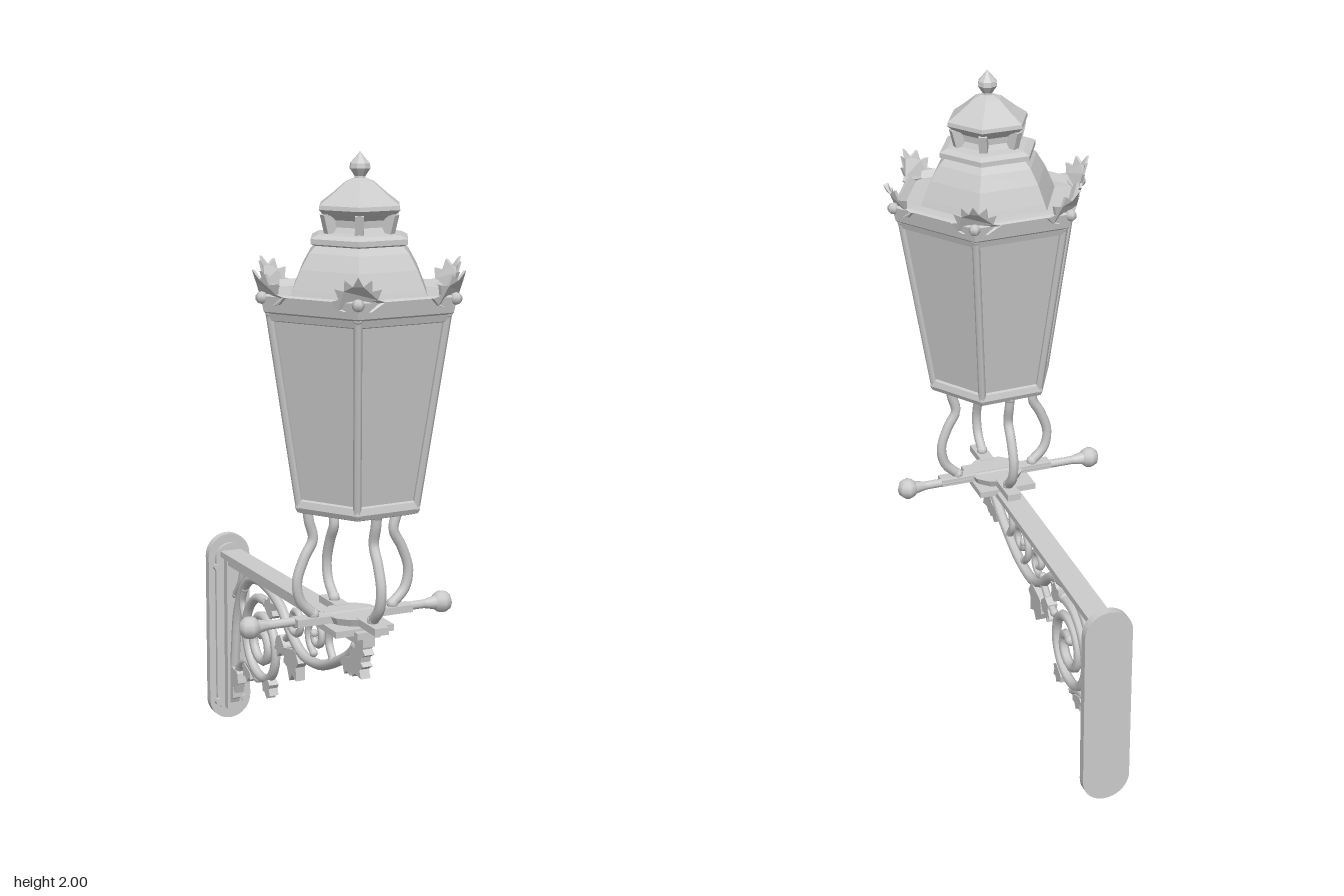
import * as THREE from 'three';

const V = (x, y, z) => new THREE.Vector3(x, y, z);
const smooth = new THREE.MeshStandardMaterial({ color: 0xcccccc });
const faceted = new THREE.MeshStandardMaterial({ color: 0xcccccc, flatShading: true });

function add(parent, name, geometry, material = faceted, x = 0, y = 0, z = 0) {
  const mesh = new THREE.Mesh(geometry, material);
  mesh.name = name;
  mesh.position.set(x, y, z);
  parent.add(mesh);
  return mesh;
}

// Six-sided turned part with corners on the x axis; profile is [radius, y] bottom to top
const hexLathe = (profile) => new THREE.LatheGeometry(
  profile.map(([r, y]) => new THREE.Vector2(r, y)), 6, Math.PI / 6);

// Round rod along points, with rounded ends
function rod(parent, name, points, radius, segments = 24, sides = 8) {
  const group = new THREE.Group();
  group.name = name;
  parent.add(group);
  const curve = new THREE.CatmullRomCurve3(points);
  add(group, name + 'Stem', new THREE.TubeGeometry(curve, segments, radius, sides), smooth);
  for (const p of [points[0], points[points.length - 1]])
    add(group, name + 'End', new THREE.SphereGeometry(radius * 1.15, 8, 6), smooth, p.x, p.y, p.z);
  return group;
}

// Fan-shaped leaf with pointed lobes, growing along +y
function leafGeometry(width, height, lobes, depth) {
  const shape = new THREE.Shape();
  shape.moveTo(-width * 0.25, 0);
  for (let i = 0; i <= lobes * 2; i++) {
    const a = Math.PI * (1.08 - 1.16 * i / (lobes * 2));
    const k = i % 2 ? 1 : 0.74;
    shape.lineTo(Math.cos(a) * width / 2 * k, height * (0.25 + 0.75 * Math.sin(a)) * k);
  }
  shape.lineTo(width * 0.25, 0);
  return new THREE.ExtrudeGeometry(shape, { depth, bevelEnabled: false }).translate(0, 0, -depth / 2);
}

function spiralPoints(cz, cy, r0, r1, start, turns) {
  const n = Math.ceil(Math.abs(turns) * 12);
  return Array.from({ length: n + 1 }, (_, i) => {
    const t = i / n, r = r0 + (r1 - r0) * t, a = start + turns * Math.PI * 2 * t;
    return V(0, cy + r * Math.sin(a), cz + r * Math.cos(a));
  });
}

function buildLantern() {
  const g = new THREE.Group();
  g.name = 'lantern';
  add(g, 'baseFrame', hexLathe([[0, 0.97], [0.165, 0.965], [0.2, 0.975], [0.208, 0.99], [0.203, 1.01], [0.185, 1.015]]));
  add(g, 'glassPanes', hexLathe([[0.19, 1.0], [0.282, 1.56]]));
  add(g, 'topFrame', hexLathe([[0.275, 1.535], [0.293, 1.54], [0.3, 1.56], [0.306, 1.565],
    [0.316, 1.61], [0.305, 1.615], [0.285, 1.595], [0.21, 1.6]]));
  add(g, 'roof', hexLathe([[0.225, 1.595], [0.215, 1.62], [0.19, 1.675], [0.162, 1.72], [0.142, 1.74],
    [0.158, 1.745], [0.158, 1.76], [0.135, 1.77], [0.09, 1.775]]));
  add(g, 'vent', hexLathe([[0.1, 1.77], [0.088, 1.79], [0.09, 1.81], [0.11, 1.825]]));
  add(g, 'cap', hexLathe([[0.08, 1.82], [0.115, 1.825], [0.132, 1.84], [0.13, 1.852], [0.09, 1.88],
    [0.045, 1.915], [0.018, 1.925]]));
  add(g, 'finial', new THREE.LatheGeometry([[0.018, 1.915], [0.016, 1.93], [0.031, 1.952], [0.029, 1.966],
    [0.012, 1.985], [0, 2]].map(p => new THREE.Vector2(...p)), 8));

  // Leaf folded round a corner and leaning outwards
  const crest = leafGeometry(0.15, 0.1, 7, 0.008);
  const pos = crest.attributes.position;
  for (let i = 0; i < pos.count; i++)
    pos.setZ(i, pos.getZ(i) - Math.abs(pos.getX(i)) * 0.5 + pos.getY(i) * 0.3);
  crest.computeVertexNormals();

  for (let i = 0; i < 6; i++) {
    const corner = new THREE.Group();
    corner.name = 'corner';
    corner.rotation.y = Math.PI / 6 + i * Math.PI / 3;
    g.add(corner);
    rod(corner, 'cornerBar', [V(0, 0.99, 0.193), V(0, 1.56, 0.287)], 0.012, 1, 6);
    add(corner, 'crestLeaf', crest, faceted, 0, 1.585, 0.308);
    add(corner, 'crestBoss', new THREE.SphereGeometry(0.018, 6, 5), smooth, 0, 1.605, 0.312);
    // Small brackets holding up the cap
    const bracket = add(corner, 'ventBracket', new THREE.BoxGeometry(0.025, 0.06, 0.03), faceted, 0, 1.8, 0.1);
    bracket.rotation.x = 0.25;
  }
  g.rotation.y = 0.055;
  return g;
}

function buildCradle() {
  const g = new THREE.Group();
  g.name = 'cradle';
  // Four bowed legs
  for (let i = 0; i < 4; i++) {
    const leg = rod(g, 'leg', [V(0, 0.975, 0.15), V(0, 0.94, 0.145), V(0, 0.885, 0.132), V(0, 0.83, 0.16),
      V(0, 0.76, 0.183), V(0, 0.7, 0.172), V(0, 0.655, 0.13)], 0.016);
    leg.rotation.y = i * Math.PI / 2;
    add(leg, 'foot', new THREE.BoxGeometry(0.045, 0.022, 0.12), faceted, 0, 0.638, 0.13);
  }
  add(g, 'hub', new THREE.CylinderGeometry(0.09, 0.075, 0.035, 12), faceted, 0, 0.63, 0);
  add(g, 'hubPlate', new THREE.BoxGeometry(0.19, 0.02, 0.2), faceted, -0.01, 0.615, 0);
  // Ladder rest with a knob at each end
  rod(g, 'crossbar', [V(-0.33, 0.637, -0.01), V(0.31, 0.637, -0.01)], 0.014, 1);
  for (const s of [-1, 1]) {
    const x = -0.013 + s * 0.317;
    add(g, 'knob', new THREE.SphereGeometry(0.034, 8, 6), smooth, x, 0.637, -0.01);
    const collar = add(g, 'knobCollar', new THREE.CylinderGeometry(0.023, 0.014, 0.04, 8), smooth, x - s * 0.04, 0.637, -0.01);
    collar.rotation.z = -s * Math.PI / 2;
  }
  return g;
}

// Upright strip with round ends, extruded forwards from z
function strip(w, y0, y1, z, depth) {
  const r = w / 2, s = new THREE.Shape();
  s.absarc(0, y1 - r, r, 0, Math.PI);
  s.absarc(0, y0 + r, r, Math.PI, Math.PI * 2);
  return new THREE.ExtrudeGeometry(s, { depth, bevelEnabled: false, curveSegments: 10 }).translate(0, 0, z);
}

function buildBracket() {
  const g = new THREE.Group();
  g.name = 'wallBracket';
  add(g, 'wallPlate', strip(0.15, 0, 0.66, -0.632, 0.027));
  add(g, 'wallPlateRidge', strip(0.105, 0.03, 0.63, -0.606, 0.014));
  add(g, 'wallPost', new THREE.BoxGeometry(0.05, 0.54, 0.03), faceted, 0, 0.315, -0.58);
  for (const s of [-1, 1]) for (const y of [0.07, 0.55]) {
    const bolt = add(g, 'bolt', new THREE.CylinderGeometry(0.013, 0.013, 0.02, 8), faceted, s * 0.048, y, -0.594);
    bolt.rotation.x = Math.PI / 2;
  }
  // T-section arm
  const arm = new THREE.Group();
  arm.name = 'arm';
  arm.rotation.x = -0.012;
  arm.position.set(0, 0.594, -0.07);
  g.add(arm);
  add(arm, 'armTop', new THREE.BoxGeometry(0.075, 0.02, 1.06), faceted, 0, 0.008, 0);
  add(arm, 'armWeb', new THREE.BoxGeometry(0.04, 0.03, 1.06), faceted, 0, -0.013, 0);

  // Scrollwork in the plane of the arm, given as [z, y]
  const scroll = new THREE.Group();
  scroll.name = 'scrollwork';
  g.add(scroll);
  const stems = [
    [0.017, [[0.38, 0.555], [0.33, 0.51], [0.24, 0.46], [0.12, 0.415], [0, 0.41], [-0.09, 0.455], [-0.17, 0.52], [-0.27, 0.555],
      [-0.4, 0.555], [-0.48, 0.5], [-0.53, 0.4], [-0.55, 0.28], [-0.57, 0.12]]],
    [0.013, [[0.22, 0.46], [0.19, 0.51], [0.2, 0.57]]],
    [0.012, [[-0.48, 0.575], [-0.5, 0.52], [-0.55, 0.46]]],
    [0.014, [[-0.36, 0.22], [-0.44, 0.25], [-0.51, 0.22], [-0.56, 0.1]]],
    [0.012, [[-0.46, 0.38], [-0.49, 0.45], [-0.47, 0.5]]],
    [0.012, [[-0.1, 0.45], [-0.14, 0.42], [-0.19, 0.4]]],
  ];
  for (const [r, pts] of stems) rod(scroll, 'stem', pts.map(([z, y]) => V(0, y, z)), r, 40, 7);
  const spirals = [
    [0.016, -0.32, 0.355, 0.155, 0.03, 1.3, 2.1],
    [0.012, 0.1, 0.505, 0.068, 0.018, -1.9, -1.2],
    [0.012, -0.055, 0.51, 0.05, 0.015, -2.4, 1.1],
  ];
  for (const [r, ...s] of spirals) {
    const pts = spiralPoints(...s);
    rod(scroll, 'spiral', pts, r, pts.length * 2, 7);
  }
  // Leaves: z, y, turn from upright towards +z, width, height
  const leaves = [
    [0.36, 0.52, 1.9, 0.1, 0.1], [0.4, 0.55, 1.3, 0.08, 0.07], [0.34, 0.51, 3.0, 0.09, 0.06],
    [-0.07, 0.41, 2.9, 0.12, 0.11], [-0.13, 0.42, 3.9, 0.07, 0.08], [-0.27, 0.24, 2.6, 0.07, 0.06],
    [-0.42, 0.24, 3.5, 0.08, 0.05], [-0.25, 0.48, 0.6, 0.08, 0.07], [-0.53, 0.2, 3.3, 0.08, 0.09],
    [-0.565, 0.14, 3.4, 0.07, 0.1],
  ];
  for (const [z, y, turn, w, h] of leaves) {
    const leaf = add(scroll, 'leaf', leafGeometry(w, h, 4, 0.032).rotateY(Math.PI / 2), faceted, 0, y, z);
    leaf.rotation.x = turn;
  }
  return g;
}

export function createModel() {
  const model = new THREE.Group();
  model.name = 'wallLantern';
  const lantern = buildLantern();
  lantern.position.set(0.018, 0, 0.345);
  const cradle = buildCradle();
  cradle.position.set(0.008, 0, 0.338);
  model.add(lantern, cradle, buildBracket());
  return model;
}
